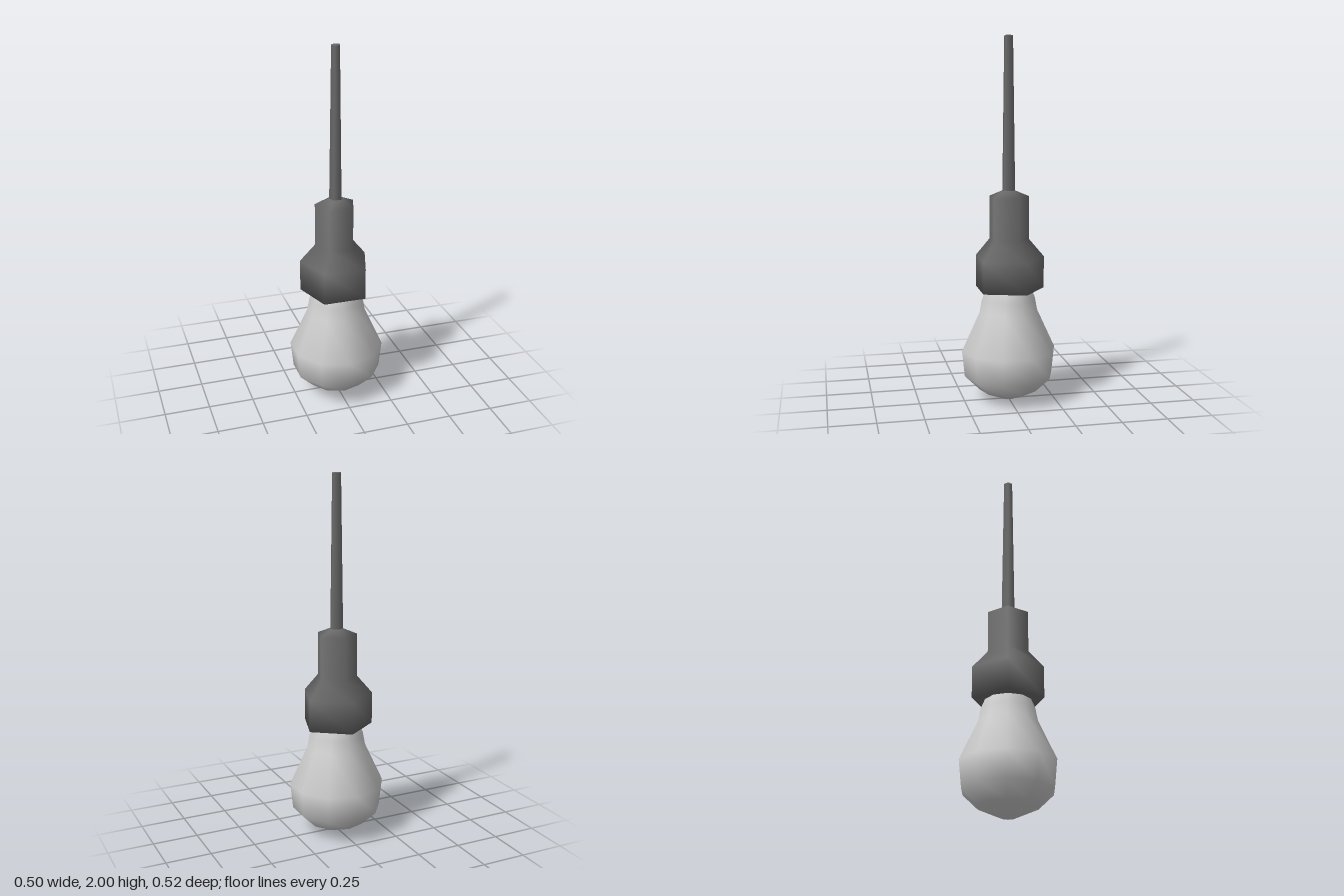
import * as THREE from 'three';

// Turned part: profile of [radius, height] from bottom to top, one corner at the back
function turned(name, profile, sides, color) {
  const points = profile.map(([r, y]) => new THREE.Vector2(r, y));
  const geometry = new THREE.LatheGeometry(points, sides, Math.PI);
  const mesh = new THREE.Mesh(geometry, new THREE.MeshStandardMaterial({ color }));
  mesh.name = name;
  return mesh;
}

export function createModel() {
  const group = new THREE.Group();
  group.name = 'hangingBulb';
  const dark = 0x6a6a6a;

  // Ten-sided glass bulb, its neck reaching into the socket
  group.add(turned('bulb', [
    [0, 0], [0.04, 0.004], [0.162, 0.058], [0.247, 0.14], [0.262, 0.285],
    [0.163, 0.5], [0.15, 0.57], [0.123, 0.635], [0.11, 0.66],
  ], 10, 0xcccccc));

  // Five-sided socket with a flared skirt and closed underside
  group.add(turned('socket', [
    [0, 0.625], [0.2, 0.625], [0.2, 0.8], [0.115, 0.9],
    [0.115, 1.137], [0.037, 1.17],
  ], 5, dark));

  // Tapering five-sided cord
  group.add(turned('cord', [
    [0.037, 1.17], [0.025, 1.995], [0.023, 2], [0, 2],
  ], 5, dark));

  return group;
}
